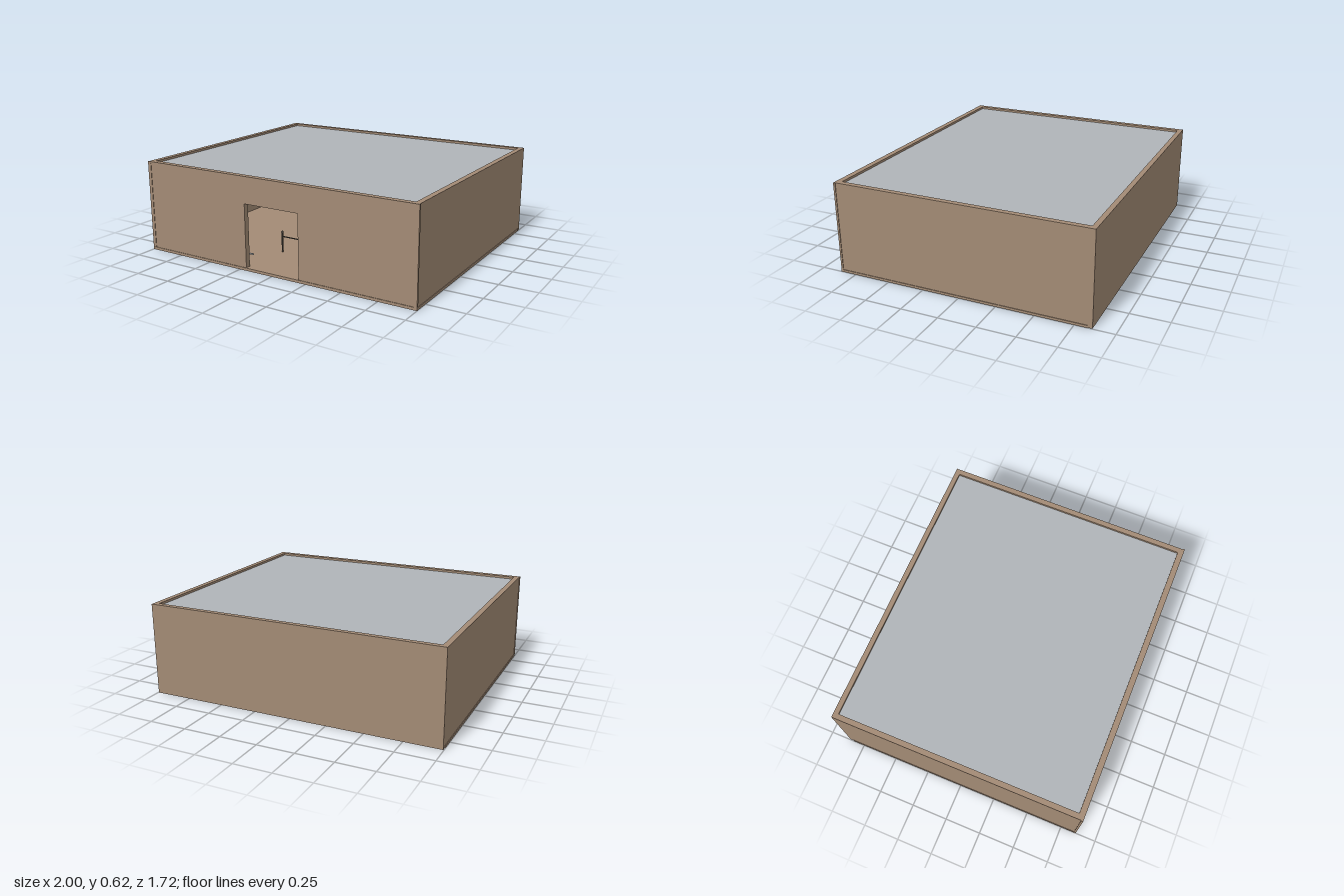
import * as THREE from 'three';

const mat = (color) => new THREE.MeshStandardMaterial({ color });
const brown = mat(0xa38b75), grey = mat(0xb0b4b8), gold = mat(0xd6b95e), dark = mat(0x4a443e);

export function createModel() {
  const model = new THREE.Group();

  const add = (name, geo, material, x, y, z) => {
    const m = new THREE.Mesh(geo, material);
    m.name = name;
    m.position.set(x, y, z);
    model.add(m);
    return m;
  };
  // box given by its minimum and maximum corners
  const box = (name, material, x0, x1, y0, y1, z0, z1) =>
    add(name, new THREE.BoxGeometry(x1 - x0, y1 - y0, z1 - z0), material,
      (x0 + x1) / 2, (y0 + y1) / 2, (z0 + z1) / 2);
  // cylinder whose axis points to the front
  const disc = (name, material, r, depth, x, y, z, sides = 24) => {
    const m = add(name, new THREE.CylinderGeometry(r, r, depth, sides), material, x, y, z);
    m.rotation.x = Math.PI / 2;
    return m;
  };

  // floor, roof and shell
  box('floor', brown, -0.99, 0.99, 0.003, 0.018, -0.85, 0.85);
  box('roof', grey, -0.97, 0.97, 0.585, 0.602, -0.835, 0.83);
  box('backWall', brown, -0.996, 0.996, 0, 0.617, -0.86, -0.826);
  for (const s of [-1, 1]) {
    const [a, b] = s < 0 ? [-0.996, -0.96] : [0.96, 0.996];
    box('sideWall', brown, a, b, 0.002, 0.617, -0.826, 0.82);
    // low plinth along the side and slim pilaster at the front corner
    box('sidePlinth', brown, s < 0 ? -1 : 0.994, s < 0 ? -0.994 : 1, 0, 0.016, -0.83, 0.86);
    box('cornerTrim', brown, s < 0 ? -1 : 0.976, s < 0 ? -0.976 : 1, 0, 0.617, 0.845, 0.859);
    box('frontPlinth', brown, s < 0 ? -1 : 0, s < 0 ? 0 : 1, 0, 0.018, 0.853, 0.86);
  }

  // front wall with the doorway cut out
  const wall = new THREE.Shape([
    [-0.996, 0], [0.996, 0], [0.996, 0.617], [-0.996, 0.617],
  ].map(([x, y]) => new THREE.Vector2(x, y)));
  wall.holes.push(new THREE.Path([
    [-0.2, 0.018], [-0.2, 0.44], [0.2, 0.44], [0.2, 0.018],
  ].map(([x, y]) => new THREE.Vector2(x, y))));
  add('frontWall', new THREE.ExtrudeGeometry(wall, { depth: 0.036, bevelEnabled: false }), brown, 0, 0, 0.82);
  box('frontCornice', brown, -1, 1, 0.606, 0.617, 0.853, 0.859);
  box('doorHandle', grey, -0.198, -0.17, 0.1, 0.108, 0.815, 0.823);

  // round vault door on the back wall
  const cy = 0.255;
  disc('vaultFrame', grey, 0.236, 0.04, 0, cy, -0.81, 48);
  disc('vaultDoor', gold, 0.183, 0.06, 0, cy, -0.79, 48);
  disc('vaultHub', grey, 0.037, 0.04, 0, cy, -0.75);
  for (let i = 0; i < 12; i++) {
    const a = i * Math.PI / 6;
    disc('frameBolt', dark, 0.01, 0.02, 0.21 * Math.sin(a), cy + 0.21 * Math.cos(a), -0.785, 12);
  }
  for (let i = 0; i < 8; i++) {
    const a = i * Math.PI / 4;
    disc('doorStud', gold, 0.006, 0.02, 0.1 * Math.sin(a), cy + 0.1 * Math.cos(a), -0.755, 10);
  }

  // barrier rail on two posts inside the doorway
  for (const x of [-0.18, 0.18]) {
    add('barrierPost', new THREE.CylinderGeometry(0.006, 0.006, 0.14, 12), dark, x, 0.088, 0.49);
    add('barrierKnob', new THREE.SphereGeometry(0.009, 12, 8), dark, x, 0.158, 0.49);
  }
  box('barrierRail', dark, -0.18, 0.18, 0.125, 0.131, 0.487, 0.493);

  // thin bars in front of the vault
  [[0.31, 0.1], [0.25, 0.07], [0.19, 0.04]].forEach(([y, end]) =>
    box('bar', dark, -0.25, end, y - 0.003, y + 0.003, -0.503, -0.497));

  // stacks of gold bars
  for (const [x, layers] of [[-0.135, 4], [0.16, 6]]) {
    for (let i = 0; i < layers; i++) {
      box('goldBar', gold, x - 0.04, x + 0.04, 0.019 + i * 0.023, 0.038 + i * 0.023, -0.45, -0.3);
    }
  }
  return model;
}
